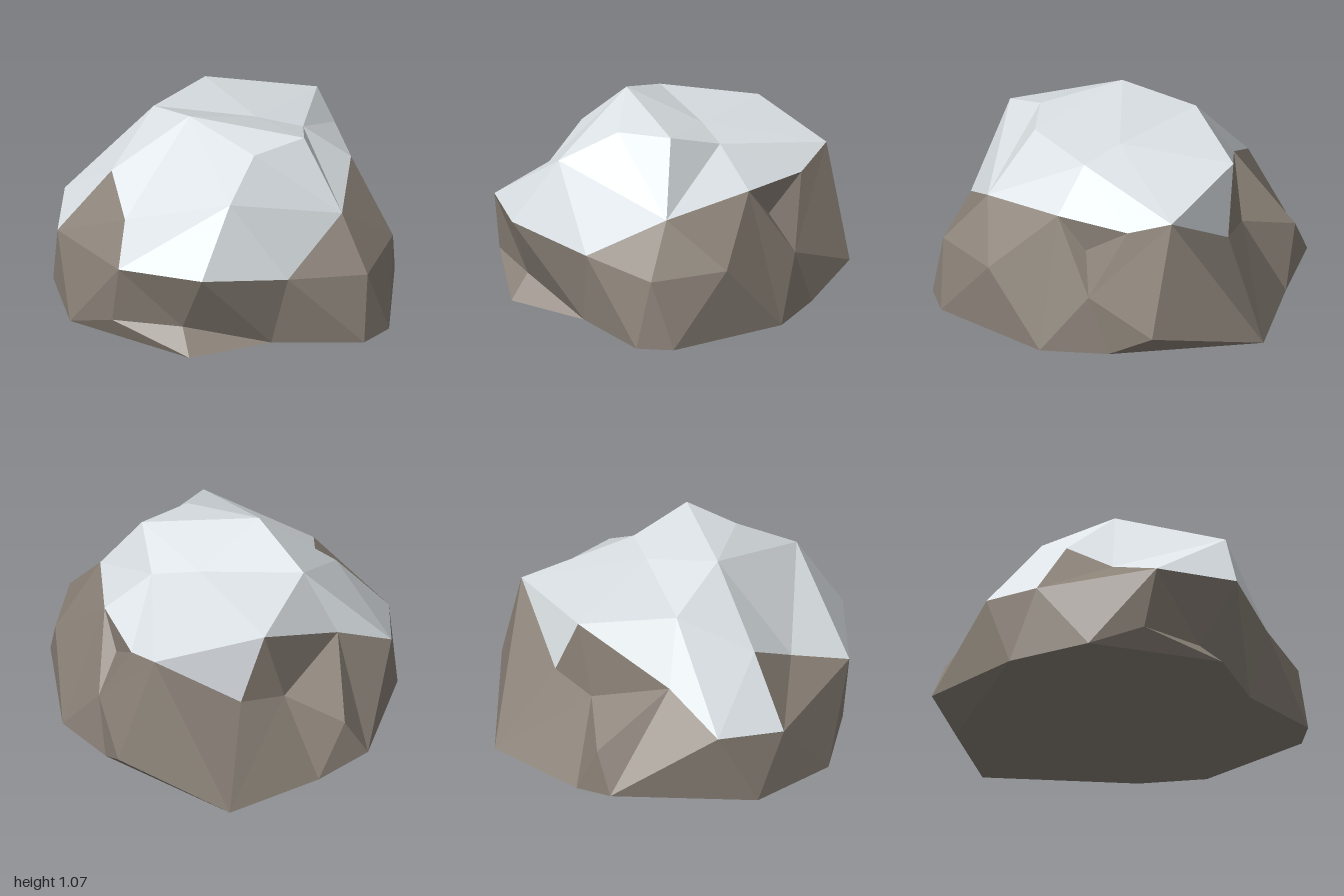
import * as THREE from 'three';

// Joins two closed rings, walking rightwards as seen from outside.
// In the path, L steps along the lower ring and U along the upper one.
// Rings may share points; the collapsed triangles are skipped.
function stitch(lower, upper, path) {
  const out = [];
  let i = 0, j = 0;
  for (const step of path) {
    const a = lower[i % lower.length], b = upper[j % upper.length];
    const c = step === 'L' ? lower[++i % lower.length] : upper[++j % upper.length];
    if (a !== b && b !== c && a !== c) out.push(...a, ...c, ...b);
  }
  return out;
}

function facetedMesh(name, positions, material) {
  const geometry = new THREE.BufferGeometry();
  geometry.setAttribute('position', new THREE.Float32BufferAttribute(positions, 3));
  geometry.computeVertexNormals();
  const mesh = new THREE.Mesh(geometry, material);
  mesh.name = name;
  return mesh;
}

export function createModel() {
  const rock = new THREE.MeshStandardMaterial({ color: 0x8a8177 });
  rock.name = 'brown rock';
  const snow = new THREE.MeshStandardMaterial({ color: 0xdce2e6 });
  snow.name = 'snow white';

  // Footprint on the ground
  const base = [
    [-0.49, 0.87], [0.27, 0.87], [0.55, 0.49], [0.97, 0.22], [1, 0.02],
    [0.66, -0.57], [0.33, -0.74], [-0.49, -0.93], [-0.8, -0.46], [-0.82, 0.52],
  ].map(([x, z]) => [x, 0, z]);

  // Bulges and hollows of the flank; where there are none it meets the footprint
  const waist = [
    base[0], [-0.19, 0.12, 0.92], [0.17, 0.12, 0.78], base[2], base[3],
    [0.94, 0.37, 0.14], [0.84, 0.39, -0.27], base[5], [0.41, 0.32, -0.65],
    [0.16, 0.17, -0.95], base[7], [-0.57, 0.45, -0.4], [-0.9, 0.33, -0.34],
    [-1, 0.11, -0.26], base[9],
  ];

  // Edge where snow meets rock
  const snowLine = [
    [-0.71, 0.39, 0.65], [-0.48, 0.74, 0.47], [-0.28, 0.58, 0.65], [-0.13, 0.46, 0.95],
    [0.35, 0.49, 0.87], [0.65, 0.41, 0.48], [0.72, 0.64, 0.05], [0.49, 0.71, -0.4],
    [0.2, 0.7, -0.69], [0, 0.79, -0.83], [-0.41, 0.5, -0.61], [-0.49, 0.87, -0.48],
    [-0.69, 0.62, 0.03], [-0.88, 0.44, 0.31],
  ];

  // Rock just below the snow, with a notch at the back
  const notch = [0.37, 0.53, -0.51];
  const rockTop = [snowLine[0], ...snowLine.slice(3, 8), notch, ...snowLine.slice(8)];

  // Upper snow and the ridge at the summit
  const peak = [-0.13, 1.07, 0.24];
  const crown = [
    snowLine[1], peak, [0.37, 0.85, 0.62], [0.32, 0.99, 0.3], [0.46, 1.01, 0.02],
    [0.28, 0.9, -0.25], snowLine[9], snowLine[11], [-0.48, 0.94, 0.05],
  ];
  const ridge = [peak, [0.04, 0.93, -0.16]];

  const model = new THREE.Group();
  model.name = 'snowyBoulder';
  model.add(
    facetedMesh('rockBody', [
      ...stitch(base, waist, 'ULULULUULULUULULUULUULULU'),
      ...stitch(waist, rockTop, 'ULLULULLULULLUUULLULUULLULUL'),
      ...stitch(rockTop, snowLine, 'UULU' + 'LU'.repeat(4) + 'LUL' + 'LU'.repeat(6)),
    ], rock),
    facetedMesh('underside', stitch([...base].reverse(), [[0, 0, 0]], 'L'.repeat(base.length)), rock),
    facetedMesh('snowCap', [
      ...stitch(snowLine, crown, 'LULULLLLUUULLLUULLULLUL'),
      ...stitch(crown, ridge, 'LLLLULLLLUL'),
    ], snow),
  );
  return model;
}
